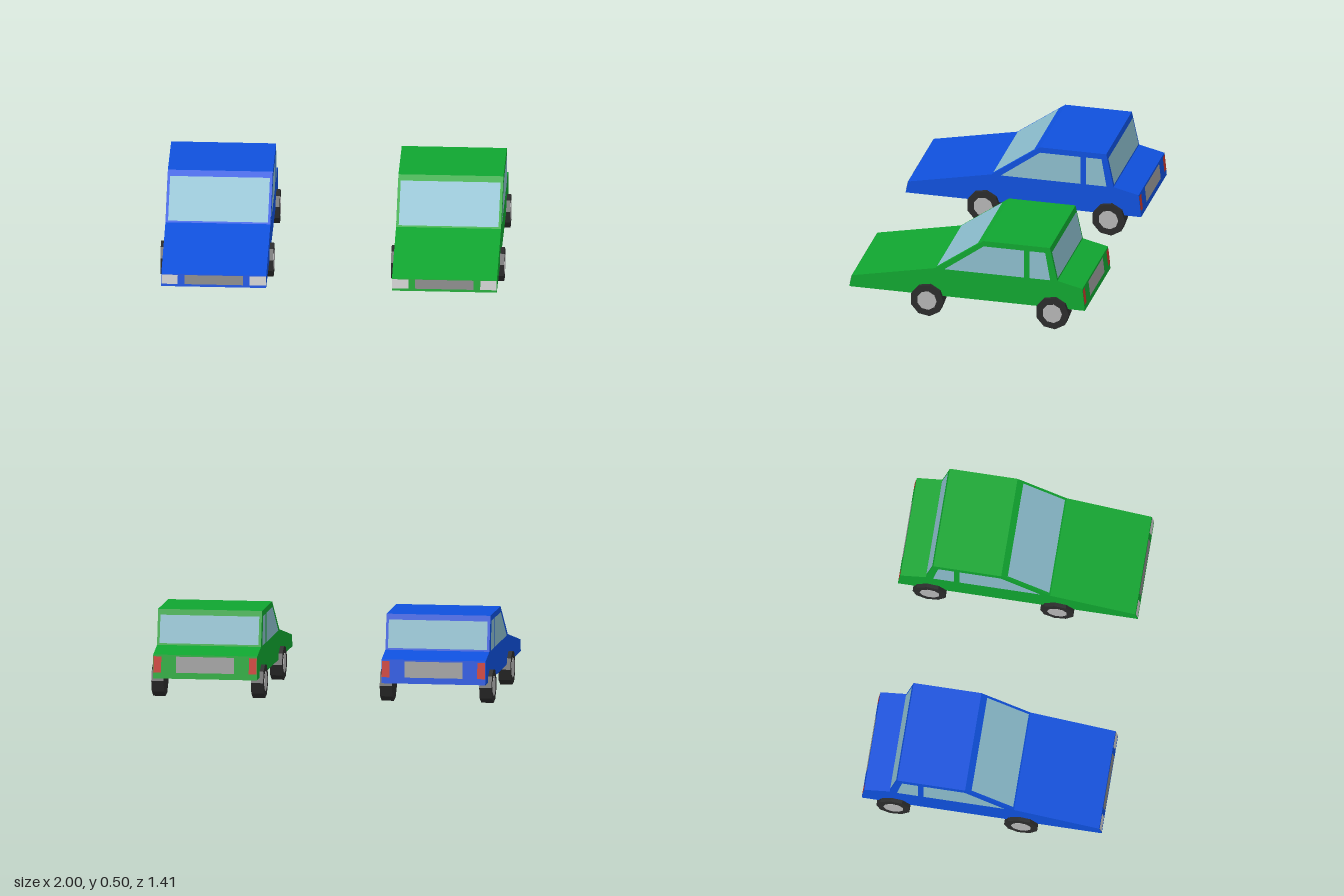
import * as THREE from 'three';

const HALF_W = 0.305;   // half body width
const SKIN = 0.002;     // how far panels sit off the body

// Side outline as (z, y), from the nose over the roof to the tail
const P = {
  noseLow: [0.705, 0.127], noseTop: [0.69, 0.198], cowl: [0.19, 0.3], roofFront: [-0.098, 0.505],
  roofBack: [-0.496, 0.505], deck: [-0.54, 0.3], tailTop: [-0.69, 0.265], tailLow: [-0.705, 0.127],
};
const SIDE_WINDOWS = {
  frontSideWindow: [[0.135, 0.3], [-0.1, 0.472], [-0.342, 0.472], [-0.342, 0.3]],
  rearSideWindow: [[-0.375, 0.3], [-0.375, 0.472], [-0.468, 0.472], [-0.498, 0.3]],
};

const mat = (color, side = THREE.FrontSide) =>
  new THREE.MeshStandardMaterial({ color, flatShading: true, side });
const tyreMat = mat(0x2b2b2b);
const hubMat = mat(0xb4b4b4);
const glassMat = mat(0x8bbccc, THREE.DoubleSide);
const lampMat = mat(0xcccccc, THREE.DoubleSide);
const grilleMat = mat(0x858585, THREE.DoubleSide);
const plateMat = mat(0x9c9c9c, THREE.DoubleSide);
const redMat = mat(0xc8372c, THREE.DoubleSide);

const outline = (pts) => new THREE.Shape(pts.map(([z, y]) => new THREE.Vector2(z, y)));

function mesh(name, geometry, material) {
  const m = new THREE.Mesh(geometry, material);
  m.name = name;
  return m;
}

// Flat panel lying on the sloped face a -> b, between heights y0 and y1
function panel(name, a, b, y0, y1, xMid, width, material) {
  const zAt = (y) => a[0] + (b[0] - a[0]) * (y - a[1]) / (b[1] - a[1]);
  const dy = y1 - y0, dz = zAt(y1) - zAt(y0);
  const m = mesh(name, new THREE.PlaneGeometry(width, Math.hypot(dy, dz)), material);
  m.position.set(xMid, (y0 + y1) / 2, zAt((y0 + y1) / 2));
  m.rotation.x = Math.atan2(dz, dy);
  m.translateZ(SKIN);
  return m;
}

// Nine-sided tyre with a hub disc on the outer face
function wheel(name, side, z) {
  const g = new THREE.Group();
  g.name = name;
  const disc = (r, w) =>
    new THREE.CylinderGeometry(r, r, w, 9, 1, false, Math.PI).rotateZ(Math.PI / 2);
  const hub = mesh('hub', disc(0.059, 0.004), hubMat);
  hub.position.x = side * 0.036;
  g.add(mesh('tyre', disc(0.1, 0.072), tyreMat), hub);
  g.position.set(side * 0.292, 0.0985, z);
  return g;
}

function car(name, color) {
  const g = new THREE.Group();
  g.name = name;

  // Wedge body
  const body = new THREE.ExtrudeGeometry(outline(Object.values(P)),
    { depth: HALF_W * 2, bevelEnabled: false });
  body.rotateY(-Math.PI / 2).translate(HALF_W, 0, 0);
  g.add(mesh('body', body, mat(color)));

  // Windscreen, rear window, grille and number plate
  g.add(
    panel('windscreen', P.cowl, P.roofFront, 0.306, 0.48, 0, 0.58, glassMat),
    panel('rearWindow', P.roofBack, P.deck, 0.472, 0.31, 0, 0.58, glassMat),
    panel('grille', P.noseLow, P.noseTop, 0.141, 0.194, 0, 0.34, grilleMat),
    panel('rearPlate', P.tailTop, P.tailLow, 0.255, 0.162, 0, 0.34, plateMat),
  );

  for (const side of [-1, 1]) {
    const word = side > 0 ? 'left' : 'right';
    // Lamps
    g.add(
      panel(word + 'Headlight', P.noseLow, P.noseTop, 0.141, 0.194, side * 0.256, 0.094, lampMat),
      panel(word + 'TailLight', P.tailTop, P.tailLow, 0.255, 0.162, side * 0.28, 0.046, redMat),
    );
    // Side glass
    for (const [part, pts] of Object.entries(SIDE_WINDOWS)) {
      const glass = new THREE.ShapeGeometry(outline(pts));
      glass.rotateY(-Math.PI / 2).translate(side * (HALF_W + SKIN), 0, 0);
      g.add(mesh(word + part[0].toUpperCase() + part.slice(1), glass, glassMat));
    }
    // Wheels
    g.add(wheel(word + 'FrontWheel', side, 0.235), wheel(word + 'RearWheel', side, -0.515));
  }
  return g;
}

export function createModel() {
  const model = new THREE.Group();
  model.name = 'twoCars';
  const blue = car('blueCar', 0x0f50dc);
  const green = car('greenCar', 0x10a530);
  blue.position.x = -0.67;
  green.position.x = 0.67;
  model.add(blue, green);
  return model;
}
